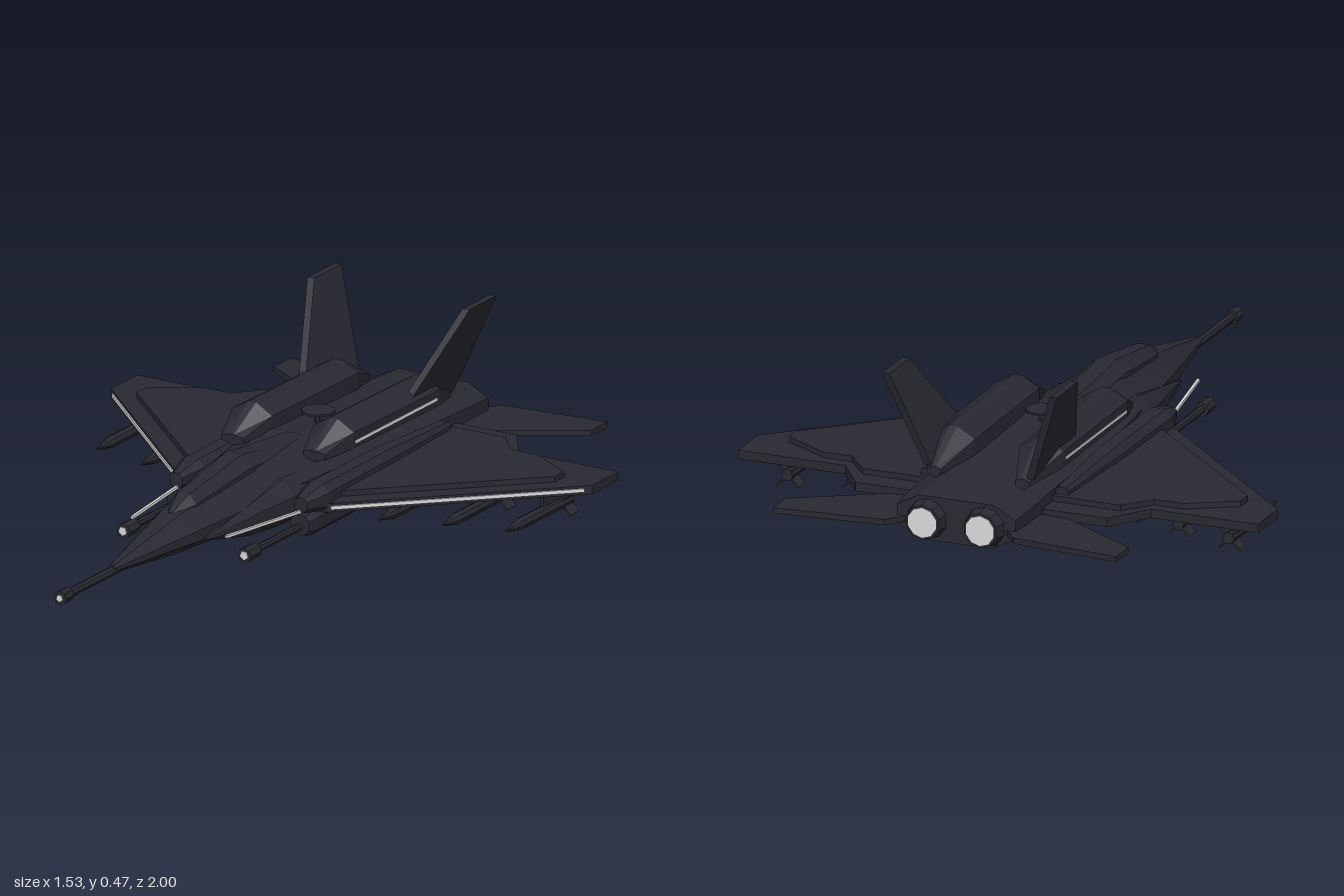
import * as THREE from 'three';

const hull = new THREE.MeshStandardMaterial({ color: 0x282831, flatShading: true });
hull.name = 'dark hull';
const pale = new THREE.MeshStandardMaterial({ color: 0xdadada, flatShading: true });
pale.name = 'pale grey';

const V = (x, y, z) => new THREE.Vector3(x, y, z);

// Lofts eight-sided sections [z, halfWidth, top, upper, lower, bottom, topHalf, bottomHalf], front to back
function loft(sections, cx = 0) {
  const pos = [], idx = [], n = 8;
  for (const [z, w, t, u, l, b, ft, fb] of sections) {
    for (const [x, y] of [[ft, t], [-ft, t], [-w, u], [-w, l], [-fb, b], [fb, b], [w, l], [w, u]]) pos.push(cx + x, y, z);
  }
  const last = (sections.length - 1) * n;
  for (let i = 0; i < last; i += n) {
    for (let j = 0; j < n; j++) {
      const k = (j + 1) % n;
      idx.push(i + j, i + n + j, i + k, i + k, i + n + j, i + n + k);
    }
  }
  for (let j = 1; j < n - 1; j++) idx.push(0, j, j + 1, last, last + j + 1, last + j);
  const g = new THREE.BufferGeometry();
  g.setAttribute('position', new THREE.Float32BufferAttribute(pos, 3));
  g.setIndex(idx);
  const flat = g.toNonIndexed();
  flat.computeVertexNormals();
  return flat;
}

// Horizontal plate from an outline of [x, z] points
function plate(points, side, y, thickness) {
  const shape = new THREE.Shape(points.map(([x, z]) => new THREE.Vector2(x * side, -z)));
  const g = new THREE.ExtrudeGeometry(shape, { depth: thickness, bevelEnabled: false });
  return g.rotateX(-Math.PI / 2).translate(0, y, 0);
}

// Tapered rod along z, from its front end to its back end
function rod(x, y, zFront, zBack, rFront, rBack, sides = 8) {
  const g = new THREE.CylinderGeometry(rFront, rBack, zFront - zBack, sides);
  return g.rotateX(Math.PI / 2).translate(x, y, (zFront + zBack) / 2);
}

// Square bar between two points
function bar(a, b, width, height) {
  const g = new THREE.BoxGeometry(width, height, a.distanceTo(b));
  const m = new THREE.Matrix4().lookAt(b, a, V(0, 1, 0));
  return g.applyMatrix4(m.setPosition(a.clone().add(b).multiplyScalar(0.5)));
}

export function createModel() {
  const model = new THREE.Group();
  model.name = 'fighterJet';
  const add = (name, geometry, material = hull) => {
    const mesh = new THREE.Mesh(geometry, material);
    mesh.name = name;
    model.add(mesh);
  };

  // Fuselage with a raised canopy
  add('fuselage', loft([
    [0.73, 0.012, 0.107, 0.1, 0.092, 0.085, 0.006, 0.006],
    [0.42, 0.075, 0.17, 0.125, 0.095, 0.055, 0.03, 0.02],
    [0.05, 0.14, 0.21, 0.15, 0.085, 0.037, 0.06, 0.03],
    [-0.2, 0.175, 0.213, 0.16, 0.075, 0.02, 0.07, 0.045],
    [-0.58, 0.18, 0.2, 0.15, 0.075, 0.02, 0.08, 0.06],
    [-0.85, 0.18, 0.18, 0.14, 0.075, 0.035, 0.1, 0.09],
    [-0.92, 0.175, 0.17, 0.135, 0.08, 0.045, 0.11, 0.1],
  ]));
  add('canopy', loft([
    [0.43, 0.01, 0.17, 0.165, 0.15, 0.14, 0.006, 0.01],
    [0.36, 0.04, 0.206, 0.18, 0.15, 0.14, 0.018, 0.03],
    [0.1, 0.06, 0.245, 0.215, 0.18, 0.16, 0.025, 0.05],
    [0.04, 0.058, 0.235, 0.21, 0.18, 0.16, 0.025, 0.05],
    [-0.2, 0.035, 0.215, 0.21, 0.19, 0.17, 0.02, 0.03],
  ]));

  // Nose probe
  add('noseProbe', rod(0, 0.09, 0.96, 0.7, 0.013, 0.013));
  add('noseProbeTip', rod(0, 0.09, 0.995, 0.955, 0.02, 0.02));
  add('noseProbeLens', rod(0, 0.09, 0.998, 0.994, 0.01, 0.01, 5), pale);

  // Sensor disc on the spine
  add('sensorStem', new THREE.CylinderGeometry(0.012, 0.012, 0.05, 8).translate(0, 0.215, -0.33));
  add('sensorDisc', new THREE.CylinderGeometry(0.048, 0.048, 0.006, 10).translate(0, 0.24, -0.33));

  for (const s of [1, -1]) {
    const side = s > 0 ? 'left' : 'right';

    // Intake flank, pointed at the front
    add(side + 'Intake', loft([
      [0.4, 0.003, 0.103, 0.101, 0.099, 0.097, 0.002, 0.002],
      [0.2, 0.04, 0.145, 0.12, 0.085, 0.055, 0.02, 0.015],
      [0.05, 0.072, 0.175, 0.135, 0.08, 0.042, 0.03, 0.02],
      [-0.3, 0.085, 0.175, 0.14, 0.08, 0.04, 0.03, 0.02],
    ], s * 0.09));

    // Wing with a raised inner panel and a pale leading edge
    add(side + 'Wing', plate([[0.1, 0.02], [0.235, 0.01], [0.765, -0.5], [0.765, -0.635],
      [0.45, -0.635], [0.37, -0.75], [0.1, -0.75]], s, 0.09, 0.025));
    add(side + 'WingPanel', plate([[0.15, -0.02], [0.2, -0.03], [0.665, -0.47], [0.665, -0.52],
      [0.53, -0.6], [0.445, -0.6], [0.38, -0.68], [0.15, -0.68]], s, 0.115, 0.016));
    add(side + 'WingEdge', bar(V(s * 0.245, 0.103, 0.002), V(s * 0.75, 0.103, -0.484), 0.006, 0.01), pale);

    // Tailplane
    add(side + 'Tailplane', plate([[0.15, -0.76], [0.26, -0.765], [0.505, -0.915], [0.505, -1],
      [0.19, -0.97], [0.15, -0.92]], s, 0.088, 0.016));

    // Fin, leaning outward with height
    const outline = [[-0.5, 0.2], [-0.53, 0.265], [-0.69, 0.47], [-0.83, 0.47], [-0.765, 0.2]];
    const fin = new THREE.ExtrudeGeometry(
      new THREE.Shape(outline.map(([z, y]) => new THREE.Vector2(-z, y))), { depth: 0.022, bevelEnabled: false });
    fin.rotateY(Math.PI / 2);
    const p = fin.attributes.position;
    for (let i = 0; i < p.count; i++) p.setX(i, p.getX(i) - 0.011 + s * (0.15 + (p.getY(i) - 0.2) * 0.36));
    fin.computeVertexNormals();
    add(side + 'Fin', fin);

    // Upper pod with a pale side stripe
    add(side + 'UpperPod', loft([
      [-0.1, 0.035, 0.215, 0.21, 0.195, 0.185, 0.004, 0.004],
      [-0.2, 0.064, 0.28, 0.25, 0.205, 0.175, 0.012, 0.012],
      [-0.64, 0.064, 0.275, 0.245, 0.2, 0.17, 0.012, 0.012],
      [-0.77, 0.02, 0.2, 0.195, 0.18, 0.17, 0.006, 0.006],
    ], s * 0.13));
    add(side + 'PodStripe', new THREE.BoxGeometry(0.004, 0.008, 0.42).translate(s * 0.194, 0.222, -0.415), pale);

    // Wing root nacelle and gun housing
    add(side + 'Nacelle', loft([
      [0.08, 0.02, 0.145, 0.135, 0.115, 0.105, 0.01, 0.01],
      [0.0, 0.042, 0.165, 0.145, 0.105, 0.085, 0.02, 0.02],
      [-0.34, 0.036, 0.165, 0.145, 0.105, 0.085, 0.02, 0.02],
      [-0.66, 0.02, 0.15, 0.14, 0.11, 0.09, 0.012, 0.012],
    ], s * 0.198));
    add(side + 'GunHousing', loft([
      [0.08, 0.03, 0.095, 0.08, 0.055, 0.04, 0.016, 0.016],
      [0.05, 0.036, 0.1, 0.085, 0.05, 0.035, 0.02, 0.02],
      [-0.34, 0.036, 0.1, 0.085, 0.055, 0.04, 0.02, 0.02],
    ], s * 0.195));

    // Gun barrel, muzzle and side rod
    add(side + 'GunBarrel', rod(s * 0.193, 0.062, 0.33, 0.05, 0.011, 0.011));
    add(side + 'GunMuzzle', rod(s * 0.193, 0.062, 0.36, 0.305, 0.021, 0.021));
    add(side + 'GunBore', rod(s * 0.193, 0.062, 0.363, 0.359, 0.013, 0.013, 5), pale);
    add(side + 'SideRod', bar(V(s * 0.2, 0.105, 0.05), V(s * 0.15, 0.115, 0.385), 0.008, 0.008), pale);

    // Engine nozzle with a pale exhaust face
    add(side + 'Nozzle', rod(s * 0.085, 0.105, -0.9, -0.955, 0.062, 0.05, 10));
    add(side + 'Exhaust', rod(s * 0.085, 0.105, -0.953, -0.957, 0.043, 0.043, 10), pale);

    // Three missiles under each wing, stepped back along the leading edge
    for (let i = 0; i < 3; i++) {
      const x = s * (0.31 + i * 0.17), y = 0.038, tip = -0.14 - i * 0.05;
      add(side + 'MissileBody', rod(x, y, tip - 0.07, tip - 0.33, 0.017, 0.017));
      add(side + 'MissileNose', rod(x, y, tip, tip - 0.07, 0.001, 0.017));
      add(side + 'Pylon', new THREE.BoxGeometry(0.01, 0.055, 0.12).translate(x, 0.068, tip - 0.25));
      for (const a of [1, -1]) {
        add(side + 'MissileFins', new THREE.BoxGeometry(0.09, 0.005, 0.045)
          .rotateZ(a * Math.PI / 4).translate(x, y, tip - 0.305));
      }
    }
  }
  return model;
}
